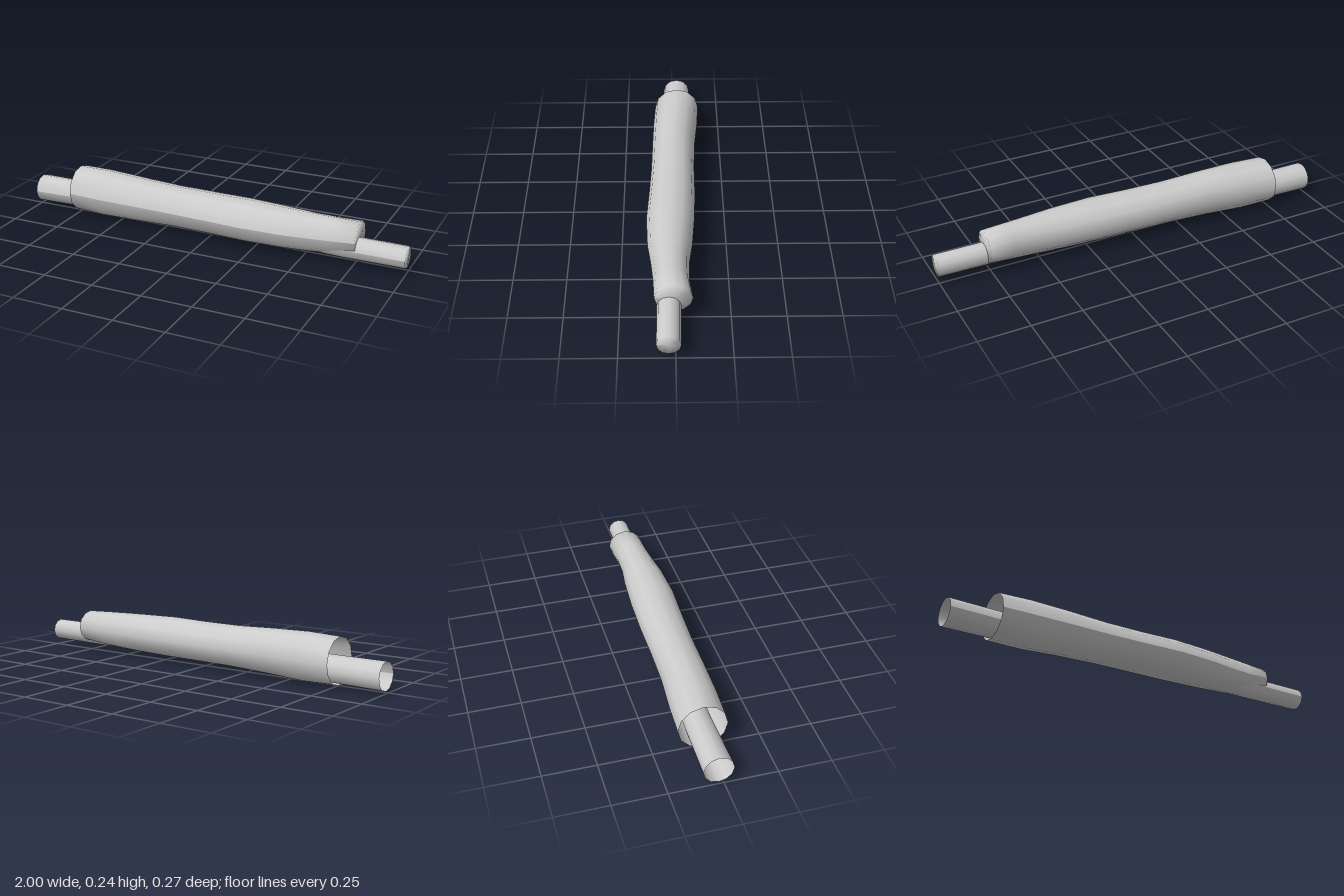
import * as THREE from 'three';

const SIDES = 12;

// Smooth tube lofted through rings [x, yMin, yMax, zMin, zMax]: open at -x, closed at +x, seam along the front
function loftTube(rings) {
  const pos = [], index = [], row = SIDES + 1;
  for (const [x, y0, y1, z0, z1] of rings) {
    for (let i = 0; i <= SIDES; i++) {
      const a = (i / SIDES) * Math.PI * 2;
      pos.push(x,
        (y0 + y1) / 2 + Math.sin(a) * (y1 - y0) / 2,
        (z0 + z1) / 2 + Math.cos(a) * (z1 - z0) / 2);
    }
  }
  for (let r = 0; r < rings.length - 1; r++) {
    for (let i = 0; i < SIDES; i++) {
      const a = r * row + i, b = a + row;
      index.push(a, b, a + 1, b, b + 1, a + 1);
    }
  }
  // flat end cap sharing the last ring, so the shading rolls over the edge
  const [x, y0, y1, z0, z1] = rings[rings.length - 1];
  const centre = pos.length / 3, last = (rings.length - 1) * row;
  pos.push(x, (y0 + y1) / 2, (z0 + z1) / 2);
  for (let i = 0; i < SIDES; i++) index.push(centre, last + i + 1, last + i);
  const g = new THREE.BufferGeometry();
  g.setAttribute('position', new THREE.Float32BufferAttribute(pos, 3));
  g.setIndex(index);
  g.computeVertexNormals();
  return g;
}

export function createModel() {
  const group = new THREE.Group();
  const grey = new THREE.MeshStandardMaterial({ color: 0xcccccc, side: THREE.DoubleSide });
  grey.name = 'light grey';

  const add = (name, rings) => {
    const mesh = new THREE.Mesh(loftTube(rings), grey);
    mesh.name = name;
    group.add(mesh);
  };

  // wavy outer sleeve
  add('outerSleeve', [
    [-0.765, 0.008, 0.236, -0.139, 0.093],
    [-0.6, 0.002, 0.240, -0.130, 0.102],
    [-0.4, 0.010, 0.233, -0.112, 0.107],
    [-0.2, 0.018, 0.224, -0.106, 0.111],
    [0, 0.020, 0.223, -0.105, 0.121],
    [0.2, 0.019, 0.225, -0.098, 0.133],
    [0.4, 0.022, 0.219, -0.083, 0.126],
    [0.52, 0.025, 0.215, -0.067, 0.110],
    [0.64, 0.033, 0.211, -0.064, 0.099],
    [0.762, 0.050, 0.207, -0.079, 0.094],
  ]);

  // thin inner rod running through the sleeve
  add('innerRod', [
    [-1, 0.013, 0.150, -0.094, 0.046],
    [-0.7, 0.018, 0.150, -0.089, 0.041],
    [0, 0.035, 0.150, -0.055, 0.062],
    [0.7, 0.025, 0.136, -0.028, 0.082],
    [1, 0.028, 0.134, -0.024, 0.084],
  ]);

  return group;
}
